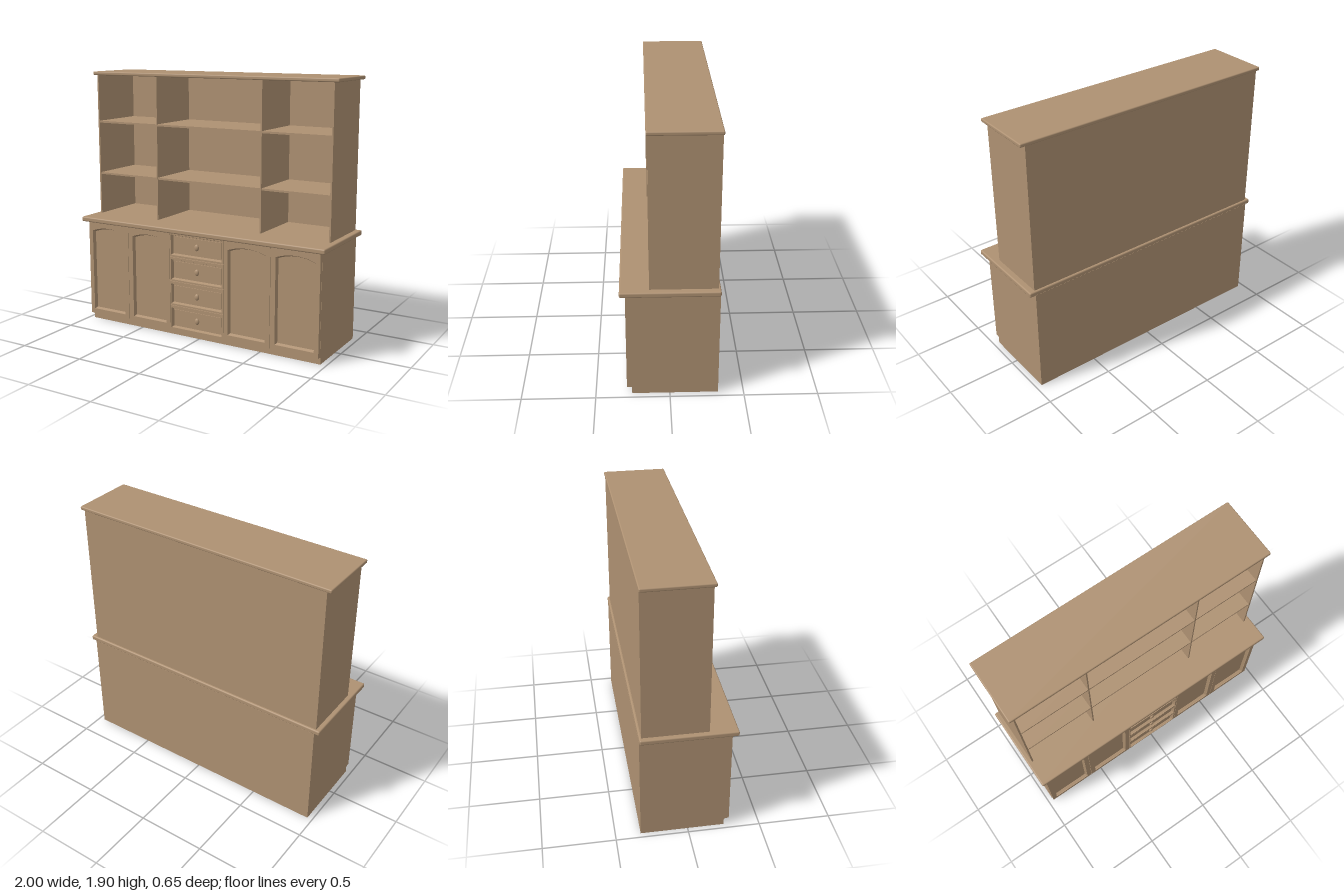
import * as THREE from 'three';
import { RoundedBoxGeometry } from 'three/addons/geometries/RoundedBoxGeometry.js';

export function createModel() {
  const model = new THREE.Group();
  const wood = new THREE.MeshStandardMaterial({ color: 0xae9172 });
  wood.name = 'wood';

  const add = (name, geometry, parent = model) => {
    const mesh = new THREE.Mesh(geometry, wood);
    mesh.name = name;
    parent.add(mesh);
    return mesh;
  };
  // Box given by its limits; a radius rounds the edges
  const box = (name, x0, x1, y0, y1, z0, z1, radius = 0) => {
    const size = [x1 - x0, y1 - y0, z1 - z0];
    const g = radius ? new RoundedBoxGeometry(...size, 3, radius) : new THREE.BoxGeometry(...size);
    g.translate((x0 + x1) / 2, (y0 + y1) / 2, (z0 + z1) / 2);
    return add(name, g);
  };

  const BACK = 0.262, FRONT = 0.29, CX = -0.003;
  const LEFT = -0.962, RIGHT = 0.957;

  // Anticlockwise outline of an opening whose top edge arches by rise
  const outline = ([x0, x1, y0, y1], rise, inset = 0) => {
    x0 += inset; x1 -= inset; y0 += inset; y1 -= inset;
    const pts = [new THREE.Vector2(x0, y0), new THREE.Vector2(x1, y0)];
    const n = rise ? 14 : 1;
    for (let i = 0; i <= n; i++) {
      const t = i / n;
      pts.push(new THREE.Vector2(x1 + (x0 - x1) * t, y1 - rise * (2 * t - 1) ** 2));
    }
    return pts;
  };

  // Sloping strip joining two matching outlines at different depths
  const strip = (outer, zOuter, inner, zInner) => {
    const pos = [];
    outer.forEach((a, i) => {
      const j = (i + 1) % outer.length;
      const b = outer[j], c = inner[j], d = inner[i];
      pos.push(a.x, a.y, zOuter, b.x, b.y, zOuter, c.x, c.y, zInner);
      pos.push(a.x, a.y, zOuter, c.x, c.y, zInner, d.x, d.y, zInner);
    });
    const g = new THREE.BufferGeometry();
    g.setAttribute('position', new THREE.Float32BufferAttribute(pos, 3));
    g.computeVertexNormals();
    return g;
  };

  // Flat frame with an opening, moulded around its inner edge
  const framedFront = (name, plate, opening, rise, bevel) => {
    const group = new THREE.Group();
    group.name = name;
    model.add(group);
    const shape = new THREE.Shape(outline(plate, 0, 0.0015));
    shape.holes.push(new THREE.Path(outline(opening, rise).reverse()));
    const frame = new THREE.ExtrudeGeometry(shape, { depth: FRONT - BACK, bevelEnabled: false });
    frame.translate(0, 0, BACK);
    add('frame', frame, group);
    add('moulding', strip(outline(opening, rise), FRONT - 0.005, outline(opening, rise, bevel), BACK + 0.004), group);
    const panel = new THREE.ShapeGeometry(new THREE.Shape(outline(opening, rise, bevel)));
    panel.translate(0, 0, BACK + 0.004);
    add('panel', panel, group);
    return group;
  };

  // Base cabinet
  box('plinth', LEFT, RIGHT, 0, 0.05, -0.327, 0.255);
  box('cabinetBody', LEFT, RIGHT, 0.05, 0.785, -0.327, BACK);
  box('worktop', -1, 1, 0.78, 0.816, -0.327, 0.327, 0.01);

  // Arched doors, two on each side of the drawers
  const doorEdges = [[LEFT, -0.595], [-0.595, -0.226], [0.222, 0.59], [0.59, RIGHT]];
  for (const [x0, x1] of doorEdges) {
    const mid = (x0 + x1) / 2 + (x0 < -0.9 || (x0 > 0 && x0 < 0.3) ? -0.002 : 0.002);
    framedFront('door', [x0, x1, 0.05, 0.78], [mid - 0.147, mid + 0.147, 0.088, 0.737], 0.028, 0.01);
  }

  // Drawers with oval knobs
  const drawerEdges = [0.05, 0.234, 0.417, 0.598, 0.78];
  for (let i = 0; i < 4; i++) {
    const y = 0.139 + 0.183 * i;
    const drawer = framedFront('drawer', [-0.226, 0.222, drawerEdges[i], drawerEdges[i + 1]],
      [CX - 0.212, CX + 0.212, y - 0.075, y + 0.075], 0, 0.008);
    const raised = new THREE.BoxGeometry(0.392, 0.118, 0.008);
    raised.translate(CX, y, BACK + 0.006);
    add('drawerFace', raised, drawer);
    const knob = new THREE.SphereGeometry(1, 20, 14);
    knob.scale(0.018, 0.024, 0.012);
    knob.translate(CX, y, 0.278);
    add('knob', knob, drawer);
  }

  // Open shelving above
  const Y0 = 0.81, Y1 = 1.88, ZB = -0.312, ZF = 0.135;
  box('shelvingBack', -0.96, 0.95, Y0, Y1, ZB, -0.3);
  box('sidePanel', -0.967, -0.955, Y0, Y1, ZB, ZF);
  box('sidePanel', 0.945, 0.957, Y0, Y1, ZB, ZF);
  for (const x of [-0.434, 0.428]) box('divider', x - 0.005, x + 0.005, Y0, Y1, -0.301, ZF - 0.001);
  for (const y of [1.128, 1.523]) box('shelf', -0.956, 0.946, y - 0.007, y + 0.007, -0.301, ZF - 0.003);
  box('topBoard', -0.998, 0.993, 1.874, 1.9, -0.316, 0.147, 0.008);

  return model;
}
